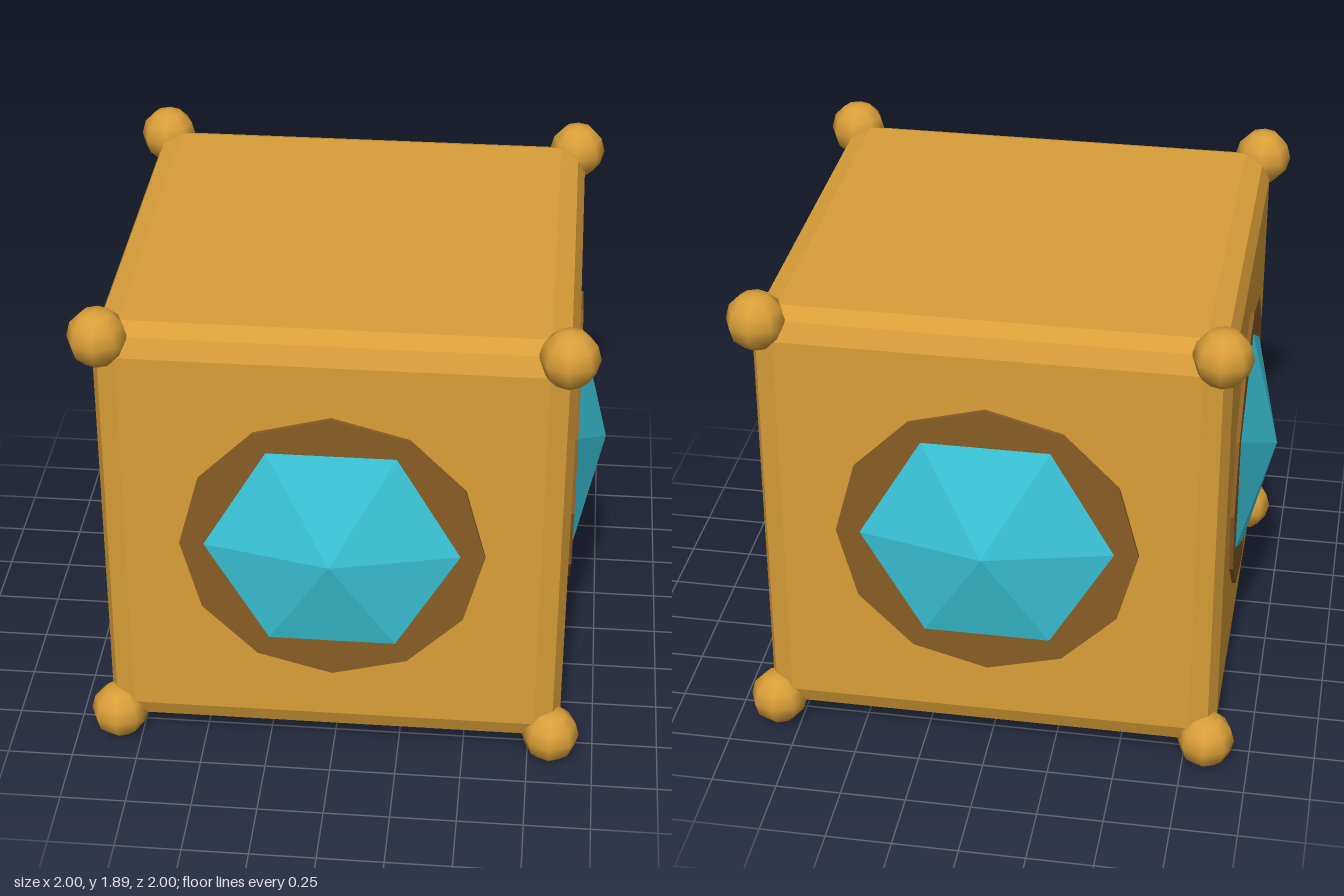
import * as THREE from 'three';
import { RoundedBoxGeometry } from 'three/addons/geometries/RoundedBoxGeometry.js';

// One normal per face, for crisp facets
function faceted(geometry) {
  const flat = geometry.index ? geometry.toNonIndexed() : geometry;
  flat.computeVertexNormals();
  return flat;
}

function addMesh(parent, name, geometry, material) {
  const mesh = new THREE.Mesh(geometry, material);
  mesh.name = name;
  parent.add(mesh);
  return mesh;
}

export function createModel() {
  const gold = new THREE.MeshStandardMaterial({ color: 0xd99e38 });
  gold.name = 'gold';
  const brown = new THREE.MeshStandardMaterial({ color: 0x885c25 });
  brown.name = 'dark bronze';
  const cyan = new THREE.MeshStandardMaterial({ color: 0x3bc8dc });
  cyan.name = 'cyan crystal';

  const model = new THREE.Group();
  model.name = 'crystalCube';
  const centre = new THREE.Group();
  centre.name = 'cube';
  centre.position.y = 0.945;
  model.add(centre);

  // Cube with faceted bevels
  addMesh(centre, 'body', faceted(new RoundedBoxGeometry(1.74, 1.74, 1.74, 1, 0.1)), gold);

  // Ball on every corner
  const ball = new THREE.SphereGeometry(0.11, 8, 6);
  const c = 0.835;
  for (const x of [-c, c]) for (const y of [-c, c]) for (const z of [-c, c]) {
    addMesh(centre, 'cornerBall', ball, gold).position.set(x, y, z);
  }

  // Twelve-sided plate and six-sided crystal on each upright face
  const plate = faceted(new THREE.CylinderGeometry(0.565, 0.565, 0.06, 12).rotateX(Math.PI / 2));
  ['front', 'left', 'back', 'right'].forEach((side, i) => {
    const panel = new THREE.Group();
    panel.name = side + 'Panel';
    panel.rotation.y = i * Math.PI / 2;
    centre.add(panel);
    addMesh(panel, 'plate', plate, brown).position.z = 0.855;

    // Crystals point sideways on front and back, upward on the sides
    const crystal = new THREE.ConeGeometry(0.475, 0.115, 6);
    if (i % 2 === 0) crystal.rotateY(Math.PI / 6);
    crystal.rotateX(Math.PI / 2);
    addMesh(panel, 'crystal', faceted(crystal), cyan).position.z = 0.9425;
  });

  return model;
}
